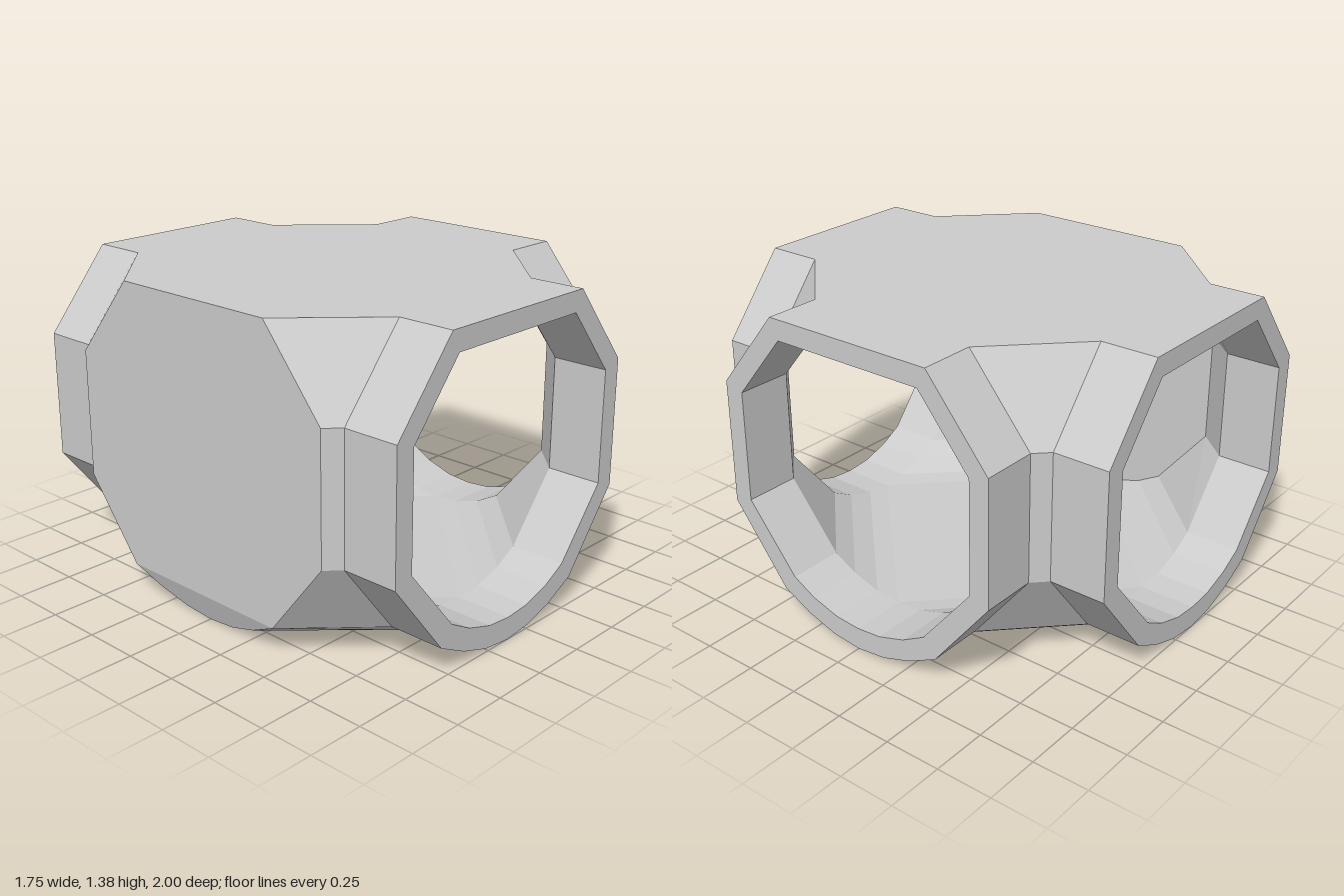
import * as THREE from 'three';

const CX = -0.125; // centre line of the through tunnel
// Half cross-sections [half width, height], from bottom centre to top centre
const OUTER = [[0, 0], [0.14, 0.015], [0.28, 0.06], [0.42, 0.13], [0.69, 0.47], [0.69, 1.03], [0.4, 1.38], [0, 1.38]];
const INNER = [[0, 0.1], [0.12, 0.11], [0.25, 0.15], [0.36, 0.21], [0.6, 0.5], [0.6, 1.0], [0.36, 1.29], [0, 1.29]];

// Section across the through tunnel (at depth z) and across the side branch (at x)
const across = (p, sx, z) => p.map(([w, y]) => [CX + sx * w, y, z]);
const along = (p, sz, x) => p.map(([w, y]) => [typeof x === 'function' ? x(y) : x, y, sz * w]);

// The closed end leans inwards near the ground
const wallOutside = (y) => -0.875 + 0.045 * Math.max(0, (0.13 - y) / 0.13);
const wallInside = () => -0.86;

function makeShell() {
  const pos = [];
  const tri = (a, b, c, flip) => pos.push(...a, ...(flip ? c : b), ...(flip ? b : c));
  return {
    tri,
    // Strip of quads between two sections
    strip(A, B, flip) {
      for (let i = 0; i < A.length - 1; i++) {
        tri(A[i], B[i], B[i + 1], flip);
        tri(A[i], B[i + 1], A[i + 1], flip);
      }
    },
    mesh(name) {
      const g = new THREE.BufferGeometry();
      g.setAttribute('position', new THREE.Float32BufferAttribute(pos, 3));
      g.computeVertexNormals();
      const m = new THREE.Mesh(g, new THREE.MeshStandardMaterial({
        color: 0xcccccc, flatShading: true, side: THREE.DoubleSide,
      }));
      m.name = name;
      return m;
    },
  };
}

// Four mirrored quarters: tunnel mouth, splayed corner, then branch or closed end
function tunnelSkin(name, profile, wall, inside) {
  const s = makeShell();
  for (const sx of [1, -1]) for (const sz of [1, -1]) {
    const flip = (sx * sz < 0) !== inside;
    const mouth = across(profile, sx, sz);
    const neck = across(profile, sx, sz * 0.75);
    const side = along(profile, sz, sx > 0 ? 0.625 : wall);
    s.strip(mouth, neck, flip);
    s.strip(neck, side, flip);
    if (sx > 0) s.strip(side, along(profile, sz, 0.875), flip);
    // Flat floor and roof at the crossing
    const last = profile.length - 1;
    s.tri(neck[last], side[last], [CX, profile[last][1], 0], flip);
    s.tri(neck[0], side[0], [CX, profile[0][1], 0], !flip);
  }
  // Closed end
  s.strip(along(profile, -1, wall), along(profile, 1, wall), inside);
  return s.mesh(name);
}

// Flat ring around one opening
function rim(name, section) {
  const s = makeShell();
  for (const side of [1, -1]) {
    const [a, b, flip] = section(side);
    s.strip(a, b, flip);
  }
  return s.mesh(name);
}

export function createModel() {
  const group = new THREE.Group();
  group.name = 'tunnelJunction';
  group.add(
    tunnelSkin('outerShell', OUTER, wallOutside, false),
    tunnelSkin('innerLining', INNER, wallInside, true),
  );
  for (const sz of [1, -1]) {
    group.add(rim(sz > 0 ? 'frontRim' : 'backRim', (sx) =>
      [across(INNER, sx, sz), across(OUTER, sx, sz), sx * sz < 0]));
  }
  group.add(rim('branchRim', (sz) =>
    [along(OUTER, sz, 0.875), along(INNER, sz, 0.875), sz < 0]));
  return group;
}
